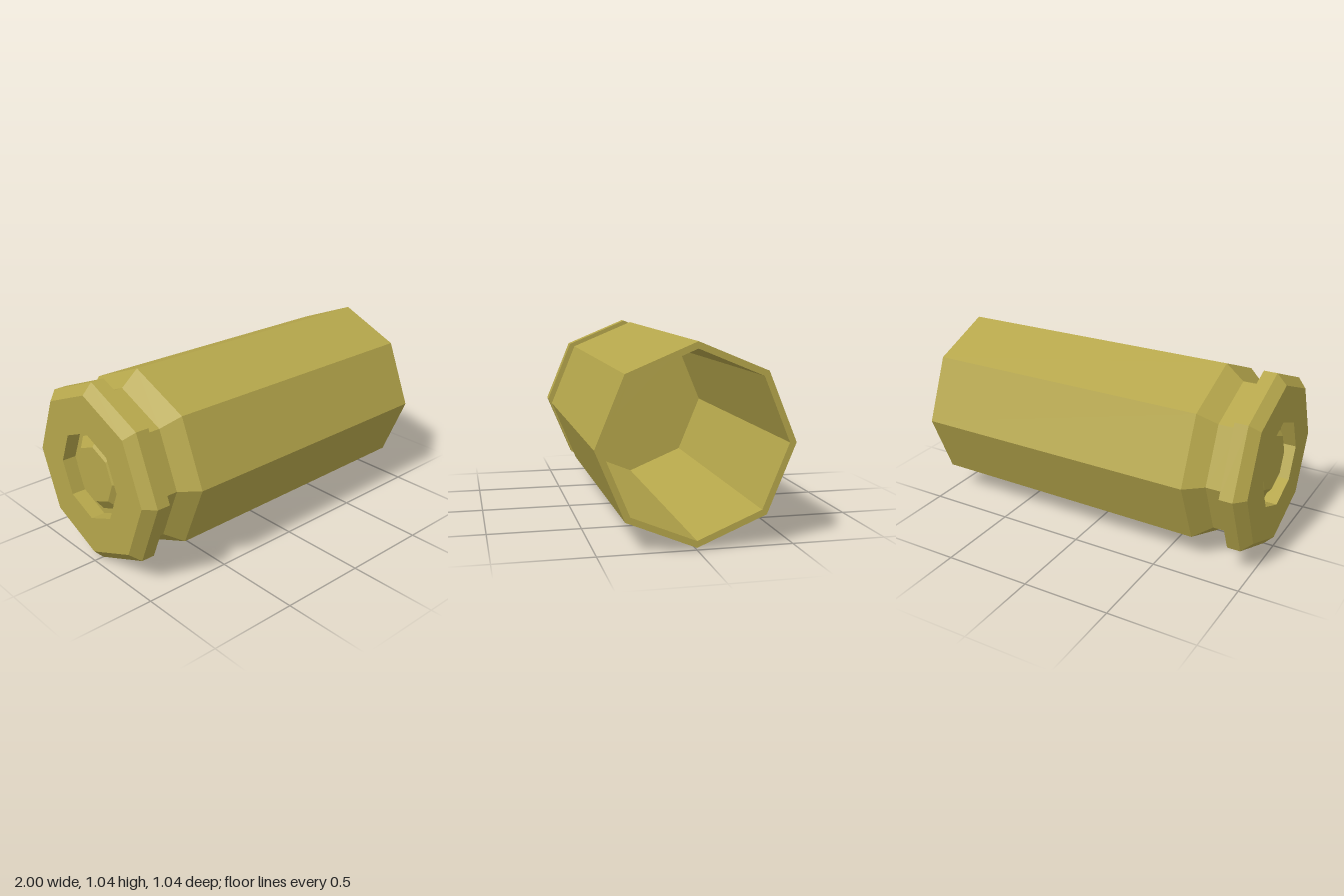
import * as THREE from 'three';

const SIDES = 8;
const RADIUS = 0.518;

// Octagonal turned part lying along x; the profile is a list of [x, radius]
function turned(name, profile, material) {
  const points = profile.map(([x, r]) => new THREE.Vector2(r, x));
  const geometry = new THREE.LatheGeometry(points, SIDES);
  geometry.rotateZ(-Math.PI / 2);
  geometry.translate(0, RADIUS, 0);
  const mesh = new THREE.Mesh(geometry, material);
  mesh.name = name;
  return mesh;
}

export function createModel() {
  const group = new THREE.Group();
  group.name = 'cartridgeCase';
  const brass = new THREE.MeshStandardMaterial({ color: 0xb5a64b, flatShading: true });

  // Case: rear pocket, bevelled rim, groove, slightly tapered wall, open hollow mouth
  group.add(turned('case', [
    [-0.92, 0.2], [-0.92, 0.25], [-1, 0.25], [-1, 0.46],
    [-0.945, RADIUS], [-0.87, RADIUS], [-0.87, 0.435], [-0.76, 0.435],
    [-0.66, RADIUS], [1, 0.507], [1, 0.472], [-0.66, 0.472], [-0.66, 0],
  ], brass));

  // Primer: bevelled cap sitting in the rear pocket
  group.add(turned('primer', [
    [-0.965, 0], [-0.965, 0.16], [-0.92, 0.22],
  ], brass));

  return group;
}
